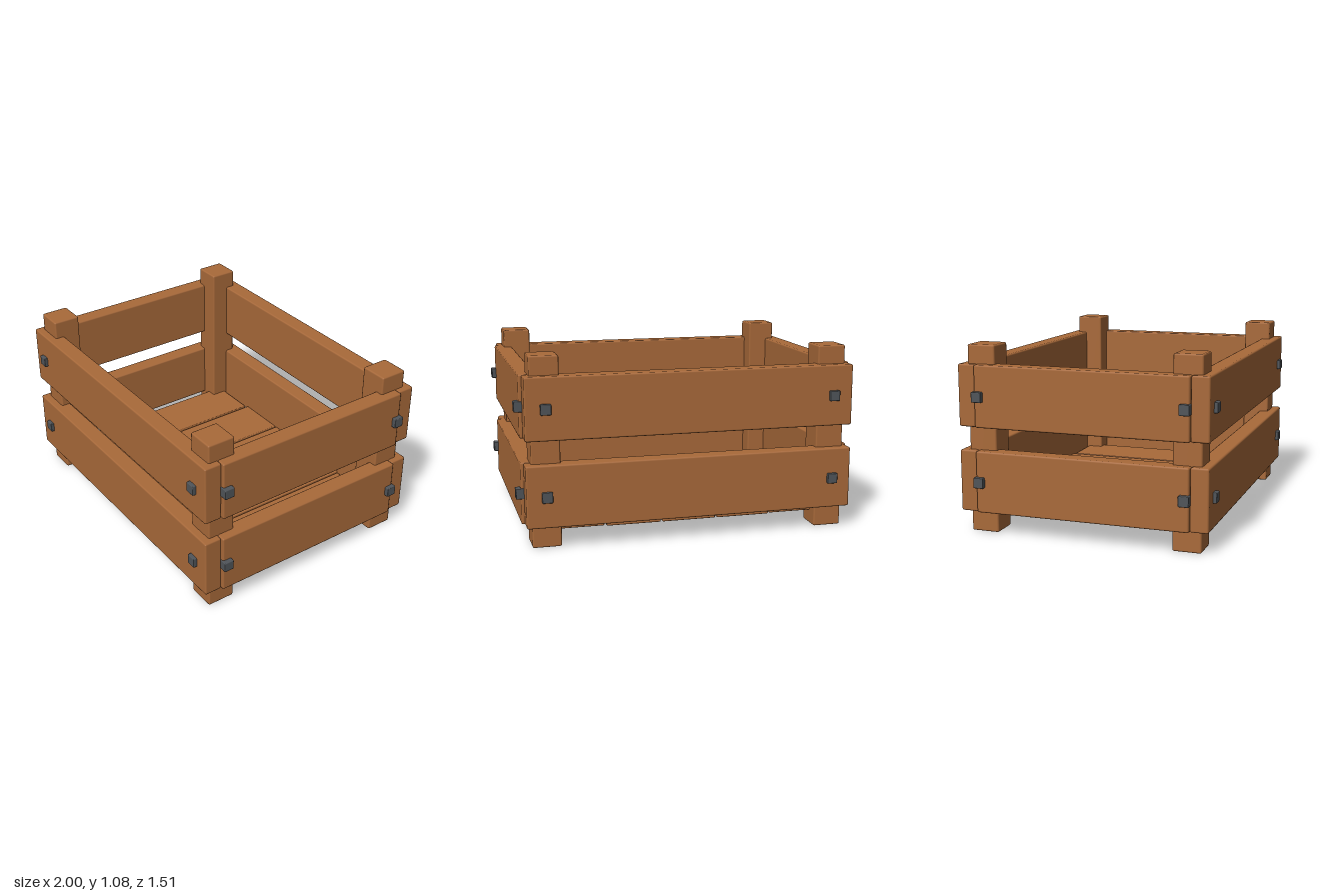
import * as THREE from 'three';
import { RoundedBoxGeometry } from 'three/addons/geometries/RoundedBoxGeometry.js';

export function createModel() {
  const crate = new THREE.Group();
  crate.name = 'crate';
  const wood = new THREE.MeshStandardMaterial({ color: 0xa96a3a });
  wood.name = 'wood';
  const iron = new THREE.MeshStandardMaterial({ color: 0x50555a });
  iron.name = 'iron';

  // Block with slightly chamfered edges, given by its centre and size
  function block(name, material, [x, y, z], [w, h, d], bevel) {
    const mesh = new THREE.Mesh(new RoundedBoxGeometry(w, h, d, 1, bevel), material);
    mesh.name = name;
    mesh.position.set(x, y, z);
    crate.add(mesh);
  }

  // Corner posts
  for (const sx of [-1, 1]) for (const sz of [-1, 1]) {
    block('cornerPost', wood, [sx * 0.838, 0.541, sz * 0.602], [0.166, 1.082, 0.166], 0.01);
  }

  // Two rows of wall planks with square bolt heads
  for (const y of [0.303, 0.795]) {
    for (const s of [-1, 1]) {
      block(s > 0 ? 'frontPlank' : 'backPlank', wood, [0, y, s * 0.679], [1.91, 0.357, 0.105], 0.01);
      block('sidePlank', wood, [s * 0.921, y, 0], [0.103, 0.357, 1.252], 0.01);
      for (const t of [-1, 1]) {
        block('endBolt', iron, [t * 0.84, y, s * 0.728], [0.06, 0.06, 0.05], 0.005);
        block('sideBolt', iron, [s * 0.975, y, t * 0.602], [0.05, 0.06, 0.06], 0.005);
      }
    }
  }

  // Floor slats, the outer two slightly shorter
  for (let i = -2; i <= 2; i++) {
    const depth = Math.abs(i) === 2 ? 1.23 : 1.256;
    block('floorSlat', wood, [i * 0.329, 0.115, 0], [0.318, 0.07, depth], 0.006);
  }

  return crate;
}
